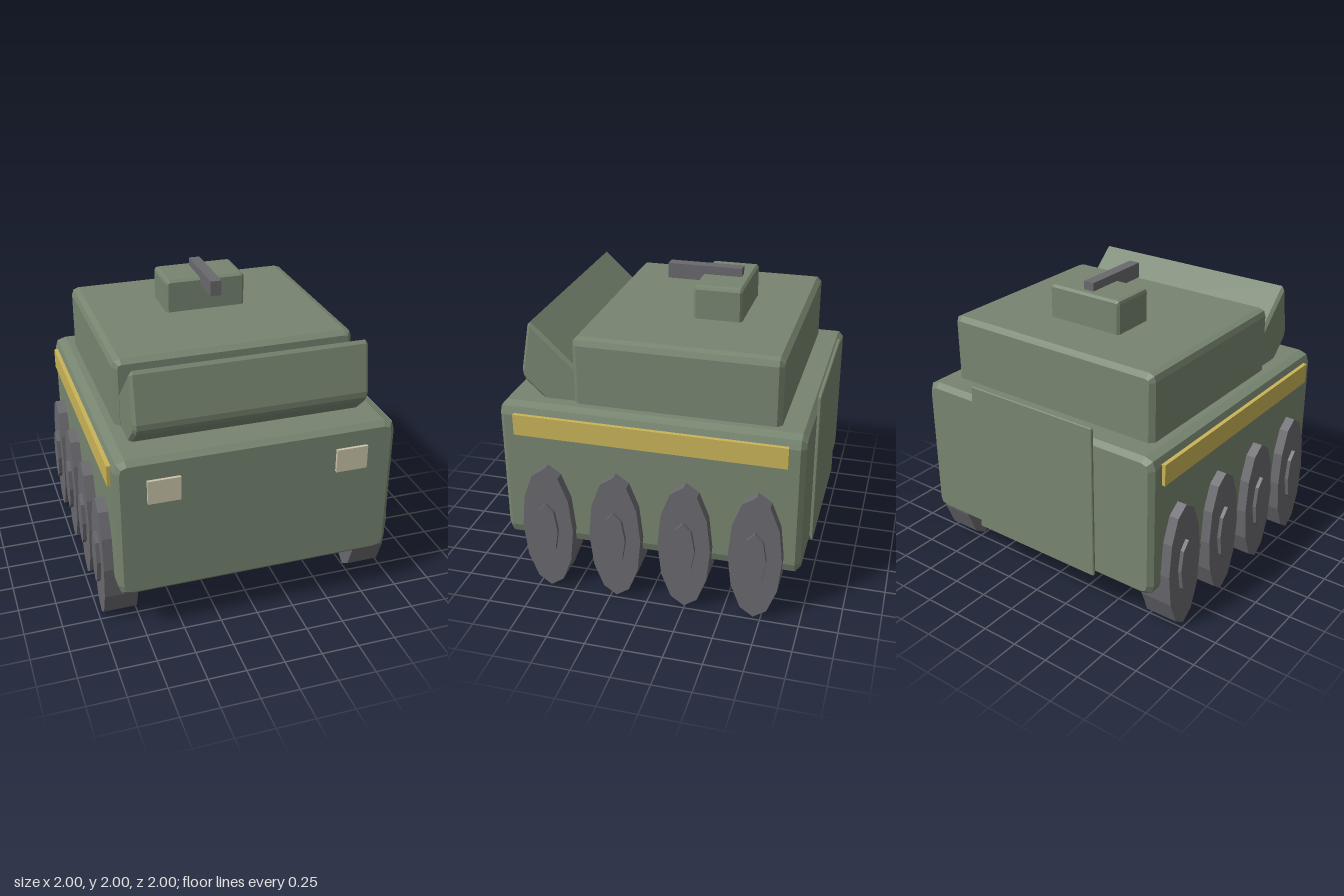
import * as THREE from 'three';

const mat = (name, color) => {
  const m = new THREE.MeshStandardMaterial({ color });
  m.name = name;
  return m;
};

export function createModel() {
  const group = new THREE.Group();
  const green = mat('olive green', 0x778570);
  const grey = mat('rubber grey', 0x69696e);
  const yellow = mat('stripe yellow', 0xc9b357);
  const cream = mat('lamp cream', 0xcac4a9);

  const add = (name, geo, material, x = 0, y = 0, z = 0, parent = group) => {
    const mesh = new THREE.Mesh(geo, material);
    mesh.name = name;
    mesh.position.set(x, y, z);
    parent.add(mesh);
    return mesh;
  };

  // Extrudes a shape to the full depth, with an inward chamfer on both ends
  const bevelled = (shape, depth, bevel) =>
    new THREE.ExtrudeGeometry(shape, {
      depth: depth - 2 * bevel, bevelEnabled: true, bevelThickness: bevel,
      bevelSize: bevel, bevelOffset: -bevel, bevelSegments: 1, curveSegments: 2,
    }).translate(0, 0, -depth / 2 + bevel);

  // Box with rounded long edges and chamfered front and back
  const hullBox = (w, h, d, r, bevel) => {
    const a = w / 2, b = h / 2, s = new THREE.Shape();
    s.moveTo(-a + r, -b);
    s.lineTo(a - r, -b);
    s.quadraticCurveTo(a, -b, a, -b + r);
    s.lineTo(a, b - r);
    s.quadraticCurveTo(a, b, a - r, b);
    s.lineTo(-a + r, b);
    s.quadraticCurveTo(-a, b, -a, b - r);
    s.lineTo(-a, -b + r);
    s.quadraticCurveTo(-a, -b, -a + r, -b);
    return bevelled(s, d, bevel);
  };

  // Hull, upper compartment, hatch and gun
  add('hull', hullBox(1.82, 0.965, 1.955, 0.075, 0.032), green, 0, 0.8025, 0.0025);
  add('upperCompartment', hullBox(1.58, 0.56, 1.325, 0.05, 0.03), green, 0, 1.445, -0.1425);
  add('roofHatch', hullBox(0.545, 0.29, 0.315, 0.025, 0.015), green, 0, 1.8, -0.2825);
  add('gun', new THREE.BoxGeometry(0.074, 0.1, 0.49), grey, 0, 1.95, -0.14);

  // Sloping front shield, profile in (z, y) swept across x
  const profile = [[0.8, 1.785], [0.818, 1.765], [0.872, 1.46], [0.868, 1.42],
    [0.85, 1.385], [0.64, 1.19], [0.47, 1.19], [0.47, 1.475]];
  const shield = new THREE.Shape(profile.map(([z, y]) => new THREE.Vector2(-z, y)));
  add('frontShield', bevelled(shield, 1.515, 0.02).rotateY(Math.PI / 2), green);

  // Rear door
  add('rearDoor', hullBox(0.97, 1.055, 0.022, 0.012, 0.005), green, 0, 0.8475, -0.986);

  // Oval wheels with hubs, side stripes and headlamps on both sides
  const oval = (ry, rz, width, sides) =>
    new THREE.CylinderGeometry(1, 1, width, sides).toNonIndexed()
      .rotateZ(Math.PI / 2).scale(1, ry, rz);
  const flat = (geo) => { geo.computeVertexNormals(); return geo; };
  const tyre = flat(oval(0.443, 0.172, 0.22, 12));
  const hub = flat(oval(0.197, 0.076, 0.12, 8));
  for (const [side, s] of [['left', 1], ['right', -1]]) {
    for (let i = 0; i < 4; i++) {
      const wheel = new THREE.Group();
      wheel.name = `${side}Wheel${i + 1}`;
      wheel.position.set(0, 0.445, 0.67 - i * 0.457);
      add('tyre', tyre, grey, s * 0.865, 0, 0, wheel);
      add('hub', hub, grey, s * 0.94, 0, 0, wheel);
      group.add(wheel);
    }
    add(`${side}Stripe`, new THREE.BoxGeometry(0.03, 0.14, 1.755), yellow, s * 0.917, 1.155, 0.0025);
    add(`${side}Headlamp`, new THREE.BoxGeometry(0.208, 0.158, 0.03), cream, s * 0.61, 1.067, 0.985);
  }
  return group;
}
